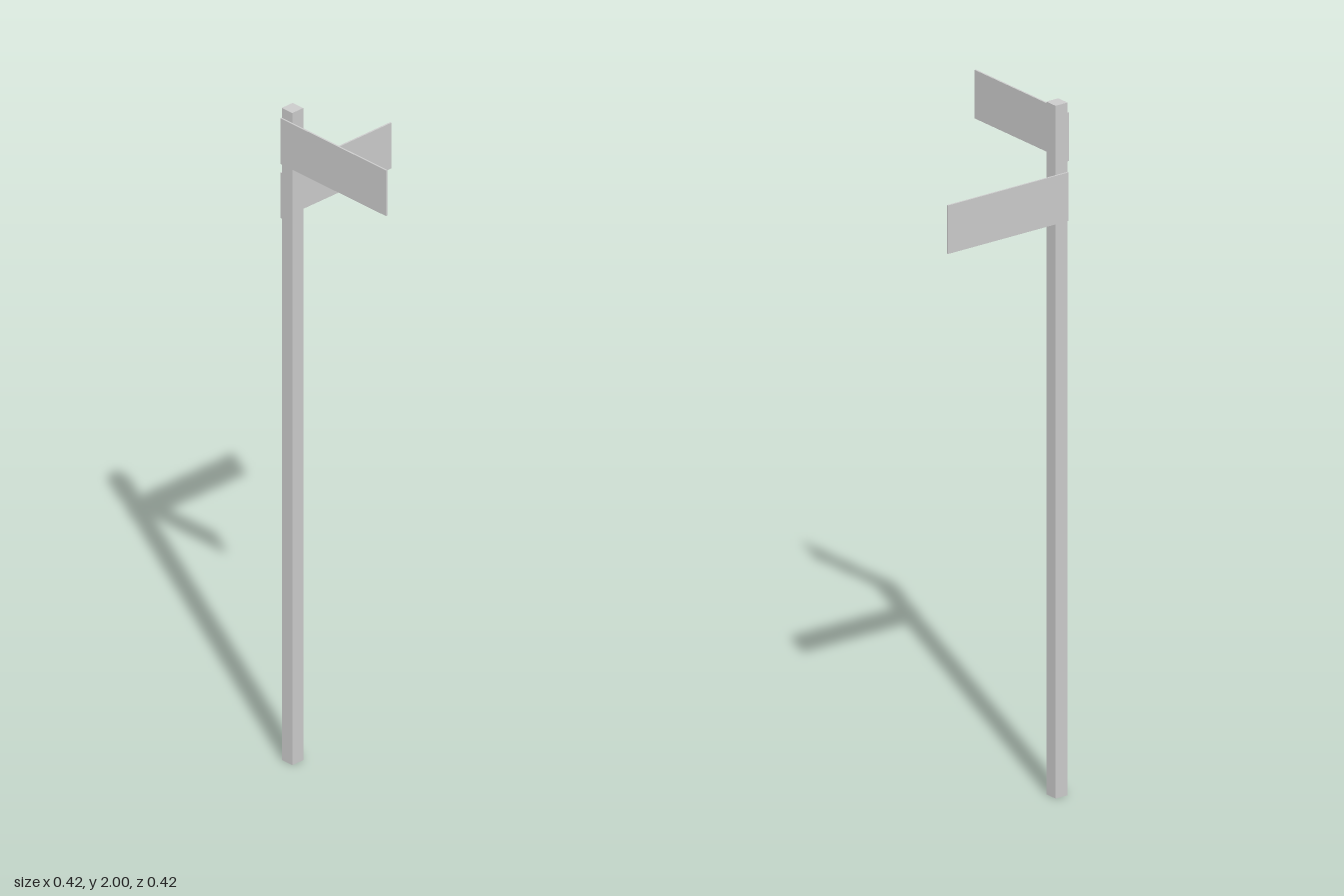
import * as THREE from 'three';

export function createModel() {
  const model = new THREE.Group();
  const material = new THREE.MeshStandardMaterial({ color: 0xcccccc, flatShading: true });

  // Adds a box spanning two opposite corners
  const addBox = (name, min, max) => {
    const size = max.map((v, i) => v - min[i]);
    const mesh = new THREE.Mesh(new THREE.BoxGeometry(...size), material);
    mesh.position.set(...min.map((v, i) => v + size[i] / 2));
    mesh.name = name;
    model.add(mesh);
  };

  const outer = 0.208; // outer face of the boards
  const face = 0.203;  // outer face of the post
  const inner = 0.162; // inner face of the post

  // Square post
  addBox('post', [-face, 0, inner], [-inner, 2, face]);

  // Upper board on the front face, pointing to +x
  addBox('upperSignBoard', [-face, 1.83, face], [outer, 1.97, outer]);

  // Lower board on the side face, pointing to -z
  addBox('lowerSignBoard', [-outer, 1.66, -outer], [-face, 1.8, face]);

  return model;
}
